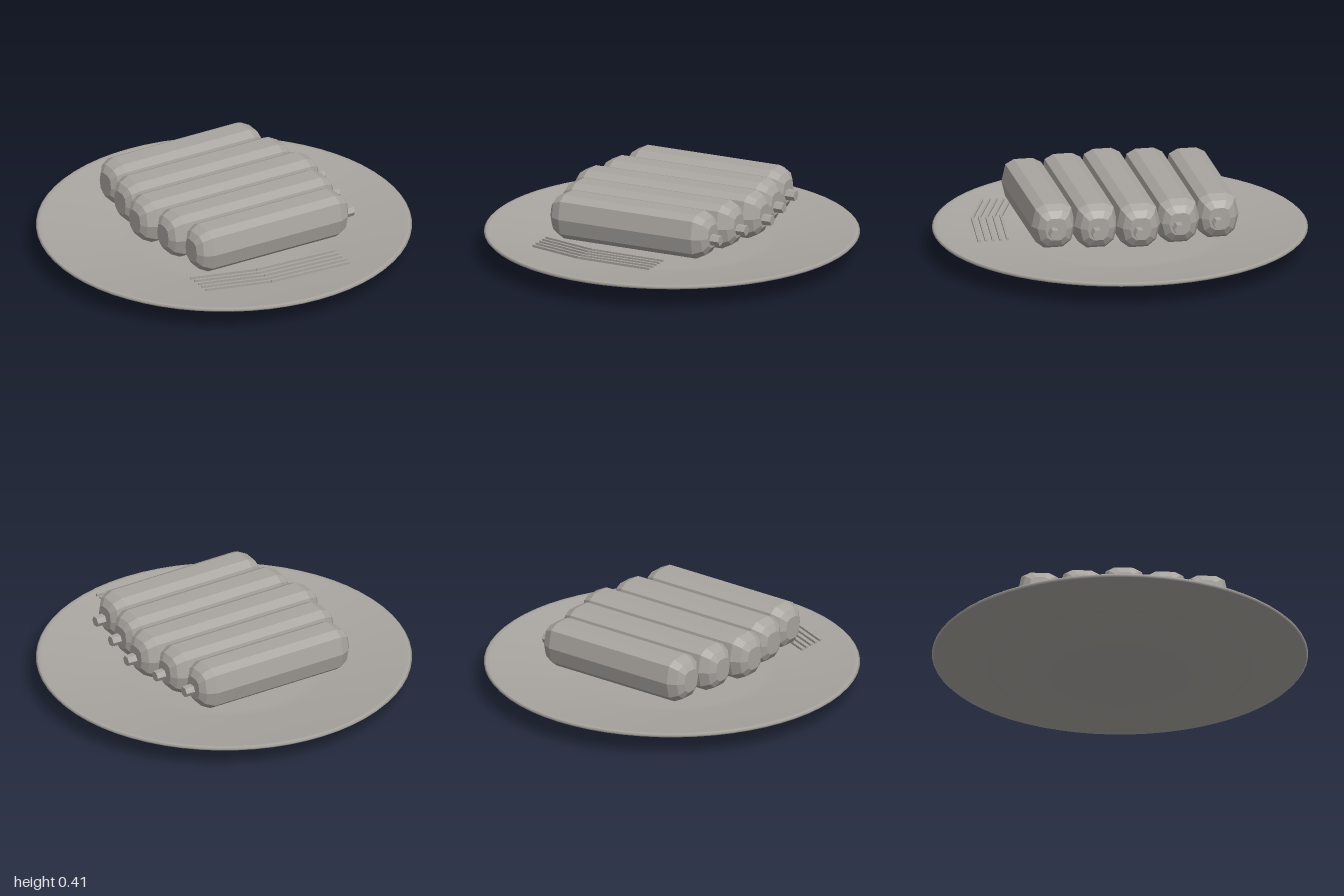
import * as THREE from 'three';

const stone = new THREE.MeshStandardMaterial({ color: 0xa8a49f });
stone.name = 'warm grey';
const facetedStone = stone.clone();
facetedStone.flatShading = true;

// Rounded-square cross-section as [z, y], clockwise from the top
const section = [
  [-0.05, 0.12], [0.05, 0.12], [0.097, 0.095], [0.118, 0.0], [0.097, -0.085],
  [0.05, -0.122], [-0.05, -0.122], [-0.097, -0.085], [-0.118, 0.0], [-0.097, 0.095],
];

// Faceted sausage along x, made of scaled rings closed at both ends
function sausageGeometry(half) {
  const ends = [[half, 0], [half, 0.5], [half - 0.025, 0.8], [half - 0.075, 1]];
  const rings = [...ends.map(([x, s]) => [-x, s]), ...ends.slice().reverse()];
  const n = section.length;
  const positions = [];
  const index = [];
  rings.forEach(([x, s], i) => {
    section.forEach(([z, y], j) => {
      positions.push(x, y * s, z * s);
      if (i === rings.length - 1) return;
      const a = i * n + j;
      const b = i * n + (j + 1) % n;
      if (s > 0) index.push(a, b, b + n);
      if (rings[i + 1][1] > 0) index.push(a, b + n, a + n);
    });
  });
  const geometry = new THREE.BufferGeometry();
  geometry.setAttribute('position', new THREE.Float32BufferAttribute(positions, 3));
  geometry.setIndex(index);
  geometry.computeVertexNormals();
  return geometry;
}

// Thin square rod between two points
function rod(a, b, size) {
  const mesh = new THREE.Mesh(new THREE.BoxGeometry(size, size, a.distanceTo(b)), facetedStone);
  mesh.position.copy(a).add(b).multiplyScalar(0.5);
  mesh.lookAt(b);
  return mesh;
}

export function createModel() {
  const model = new THREE.Group();
  model.name = 'sausagePlate';

  // Shallow plate with a foot underneath
  const profile = [
    [0, 0], [0.37, 0], [0.47, 0.018], [0.54, 0.05], [0.7, 0.052], [0.85, 0.084],
    [0.99, 0.115], [1, 0.126], [0.99, 0.135], [0.97, 0.133],
    [0.72, 0.095], [0.56, 0.078], [0.48, 0.066], [0, 0.064],
  ].map(([r, y]) => new THREE.Vector2(r, y));
  const plate = new THREE.Mesh(new THREE.LatheGeometry(profile, 64), stone);
  plate.name = 'plate';
  model.add(plate);

  // Row of five sausages, longest in the middle, each with a stub at its +x end
  for (let i = -2; i <= 2; i++) {
    const half = 0.553 - Math.abs(i) * 0.042;
    const sausage = new THREE.Group();
    sausage.name = 'sausage';
    sausage.position.set(0, 0.29, i * 0.222);

    const body = new THREE.Mesh(sausageGeometry(half), facetedStone);
    body.name = 'sausageBody';
    const stub = new THREE.Mesh(new THREE.CylinderGeometry(0.029, 0.032, 0.08, 6), facetedStone);
    stub.name = 'sausageStub';
    stub.rotation.z = -Math.PI / 2;
    stub.position.set(half + 0.012, -0.015, 0.014);
    sausage.add(body, stub);
    model.add(sausage);
  }

  // Five thin bent strands beside the sausages
  for (let i = 0; i < 5; i++) {
    const z = i * 0.039;
    const points = [
      new THREE.Vector3(-0.5, 0.156, 0.49 + z),
      new THREE.Vector3(-0.165, 0.172, 0.612 + z),
      new THREE.Vector3(0.285, 0.19, 0.668 + z),
    ];
    const strand = new THREE.Group();
    strand.name = 'strand';
    strand.add(rod(points[0], points[1], 0.013), rod(points[1], points[2], 0.013));
    model.add(strand);
  }

  return model;
}
